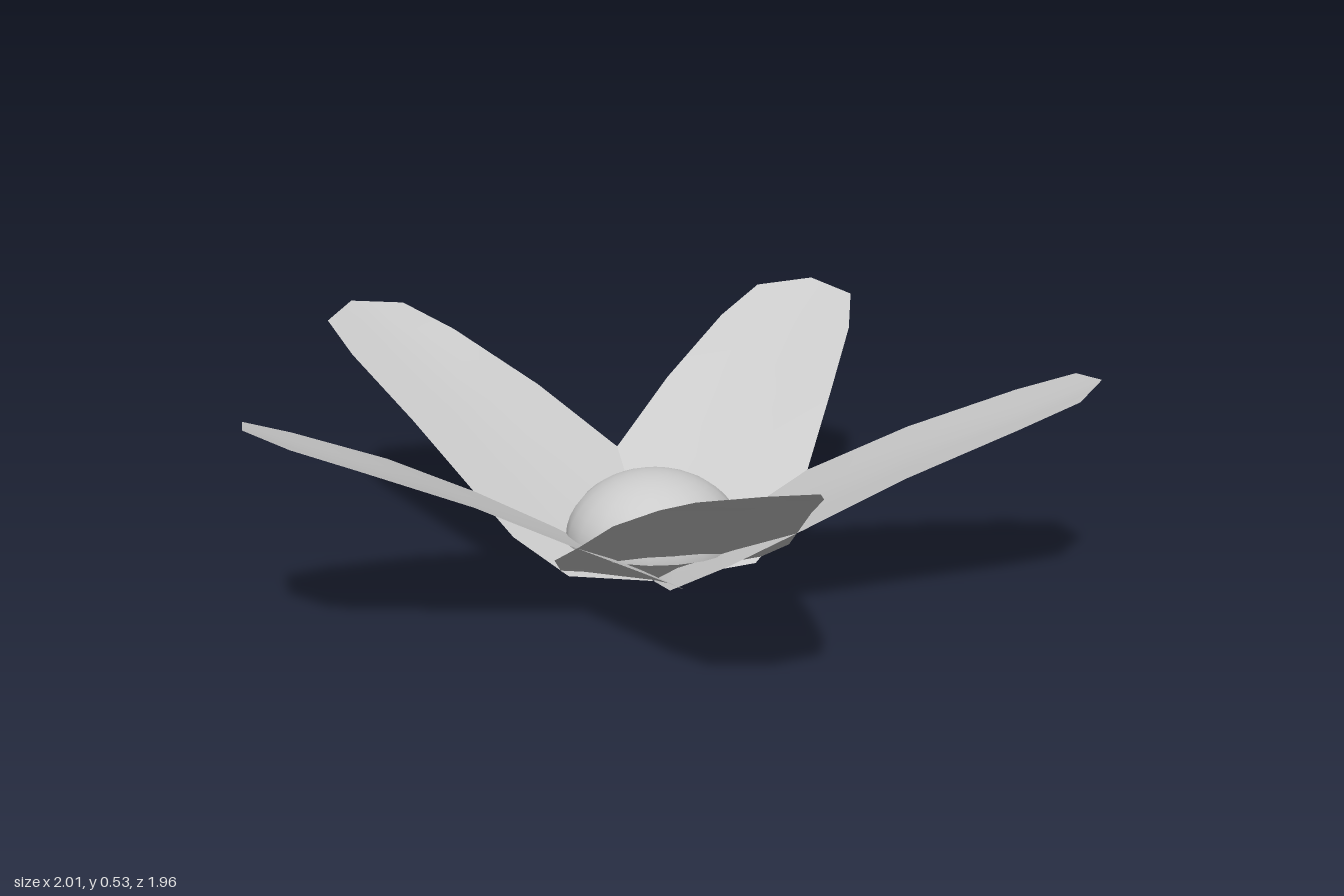
import * as THREE from 'three';

const grey = new THREE.MeshStandardMaterial({ color: 0xcccccc });
const thin = new THREE.MeshStandardMaterial({ color: 0xcccccc, side: THREE.DoubleSide });

// Petal cross-sections from base to tip: [distance out, height, half width]
const SECTIONS = [
  [0.0, 0.005, 0.01], [0.06, 0.062, 0.24], [0.2, 0.14, 0.283], [0.37, 0.225, 0.257],
  [0.6, 0.345, 0.225], [0.86, 0.458, 0.18], [1.0, 0.515, 0.133],
];
const COLUMNS = [-1, -0.5, 0, 0.5, 1];

function petalGeometry() {
  const positions = [], index = [], n = COLUMNS.length;
  SECTIONS.forEach(([out, height, half], row) => {
    const end = row === SECTIONS.length - 1;
    for (const c of COLUMNS) {
      const middle = 1 - Math.abs(c);
      // the last row is pulled out to a blunt point, the others are slightly cupped
      positions.push(c * half, height + middle * (end ? 0.02 : row ? -0.012 : 0), out + (end ? middle * 0.055 : 0));
    }
  });
  for (let r = 0; r < SECTIONS.length - 1; r++) {
    for (let c = 0; c < n - 1; c++) {
      const a = r * n + c, b = a + n;
      index.push(a, b, a + 1, b, b + 1, a + 1);
    }
  }
  const geometry = new THREE.BufferGeometry();
  geometry.setAttribute('position', new THREE.Float32BufferAttribute(positions, 3));
  geometry.setIndex(index);
  geometry.computeVertexNormals();
  return geometry;
}

export function createModel() {
  const flower = new THREE.Group();
  flower.name = 'flower';
  flower.position.set(0.01, 0, -0.08);

  // Five petals around the centre
  const geometry = petalGeometry();
  for (let i = 0; i < 5; i++) {
    const petal = new THREE.Mesh(geometry, thin);
    petal.name = `petal${i + 1}`;
    petal.rotation.y = THREE.MathUtils.degToRad(-2.2 + i * 72);
    flower.add(petal);
  }

  // Flattened dome in the middle
  const dome = new THREE.Mesh(new THREE.SphereGeometry(0.215, 20, 10, 0, Math.PI * 2, 0, Math.PI / 2), grey);
  dome.name = 'flowerCentre';
  dome.scale.y = 0.78;
  dome.position.y = 0.113;
  flower.add(dome);

  // Flat underside of the dome
  const base = new THREE.Mesh(new THREE.CircleGeometry(0.215, 20), grey);
  base.name = 'centreUnderside';
  base.rotation.x = Math.PI / 2;
  base.position.y = 0.113;
  flower.add(base);

  const model = new THREE.Group();
  model.add(flower);
  return model;
}
